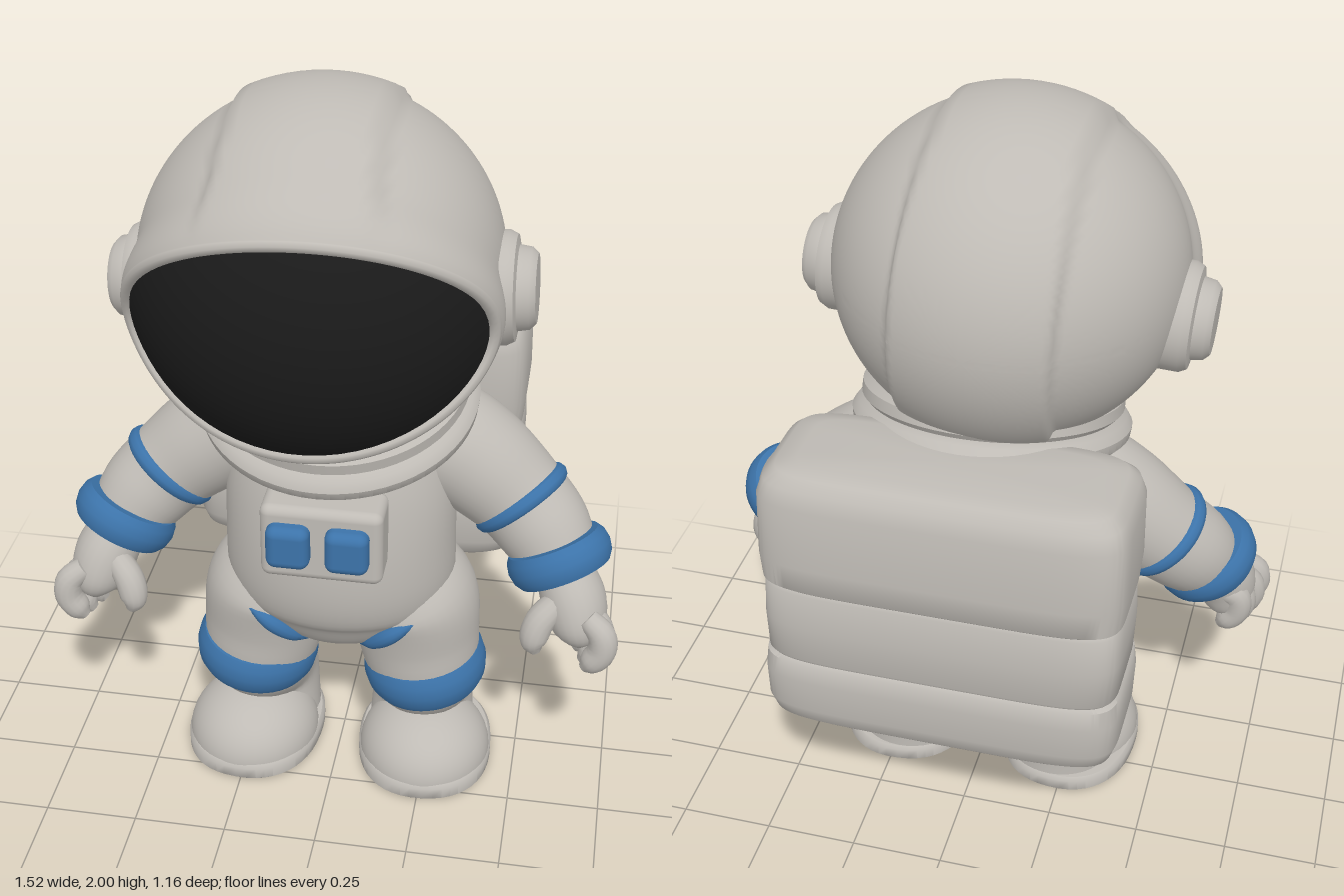
import * as THREE from 'three';
import { mergeVertices, toCreasedNormals } from 'three/addons/utils/BufferGeometryUtils.js';
import { RoundedBoxGeometry } from 'three/addons/geometries/RoundedBoxGeometry.js';

const V = (x, y, z) => new THREE.Vector3(x, y, z);
const TAU = Math.PI * 2;

const suit = new THREE.MeshStandardMaterial({ color: 0xbfbbb5 });
suit.name = 'suit grey';
const blue = new THREE.MeshStandardMaterial({ color: 0x3c73a9 });
blue.name = 'trim blue';
const dark = new THREE.MeshStandardMaterial({ color: 0x1b1b1b });
dark.name = 'visor black';

function add(parent, name, geometry, material, pos = [0, 0, 0]) {
  const mesh = new THREE.Mesh(geometry, material);
  mesh.name = name;
  mesh.position.set(...pos);
  parent.add(mesh);
  return mesh;
}

// Surface from f(u, v): u runs around, v runs along
function grid(f, nu, nv, crease = 0.8) {
  const pos = [], idx = [], w = nu + 1;
  for (let j = 0; j <= nv; j++) {
    for (let i = 0; i <= nu; i++) pos.push(...f((i % nu) / nu, j / nv).toArray());
  }
  for (let j = 0; j < nv; j++) {
    for (let i = 0; i < nu; i++) {
      const a = j * w + i, b = a + 1, c = a + w, d = c + 1;
      idx.push(a, c, b, b, c, d);
    }
  }
  const g = new THREE.BufferGeometry();
  g.setAttribute('position', new THREE.Float32BufferAttribute(pos, 3));
  g.setIndex(idx);
  const merged = mergeVertices(g);
  merged.computeVertexNormals();
  return toCreasedNormals(merged, crease);
}

// Closed body through cross-sections [x, y, z, rx, rz]; power squares the section
function sweep(sections, { steps = 5, sides = 36, power = 2 } = {}) {
  const centre = new THREE.CatmullRomCurve3(sections.map(s => V(s[0], s[1], s[2])), false, 'catmullrom');
  const radius = new THREE.CatmullRomCurve3(sections.map(s => V(s[3], s[4] ?? s[3], 0)), false, 'catmullrom');
  const n = (sections.length - 1) * steps;
  const c = [], r = [];
  for (let i = 0; i <= n; i++) {
    c.push(centre.getPoint(i / n));
    r.push(radius.getPoint(i / n));
  }
  const bend = a => Math.sign(a) * Math.pow(Math.abs(a), 2 / power);
  return grid((u, v) => {
    const k = Math.round(v * (n + 2)) - 1;
    const i = Math.min(Math.max(k, 0), n);
    if (k !== i) return c[i].clone();
    const t = c[Math.min(i + 1, n)].clone().sub(c[Math.max(i - 1, 0)]).normalize();
    const a = t.clone().cross(V(0, 0, 1)).normalize();
    const b = a.clone().cross(t);
    return c[i].clone()
      .addScaledVector(a, r[i].x * bend(Math.cos(u * TAU)))
      .addScaledVector(b, r[i].y * bend(Math.sin(u * TAU)));
  }, sides, n + 2);
}

const lathe = (profile, seg = 48) =>
  toCreasedNormals(new THREE.LatheGeometry(profile.map(p => new THREE.Vector2(...p)), seg), 0.7);

// Rounded ring around a limb
function band(parent, name, pos, dir, r, w) {
  const g = lathe([[r - 0.04, -w], [r - 0.012, -w], [r, -w * 0.6], [r + 0.005, 0], [r, w * 0.6], [r - 0.012, w], [r - 0.04, w]]);
  add(parent, name, g, blue, pos).quaternion.setFromUnitVectors(V(0, 1, 0), V(...dir).normalize());
}

function buildHelmet() {
  const helmet = new THREE.Group();
  helmet.name = 'helmet';
  helmet.position.set(-0.04, 1.55, 0.1);
  helmet.rotation.z = 0.05;

  // Face opening: an ellipse laid on the bulging visor surface
  const face = (phi, k, grow = 0) => {
    const x = (0.43 + grow) * k * Math.cos(phi), y = -0.06 + (0.29 + grow) * k * Math.sin(phi);
    return V(x, y, 0.48 * Math.sqrt(1 - (x / 0.485) ** 2 - (y / 0.5) ** 2));
  };
  add(helmet, 'visor', grid((u, v) => face(u * TAU, v), 64, 20), dark);

  // Shell from the opening to the back, with a raised band over the crown
  const step = THREE.MathUtils.smoothstep;
  const shell = grid((u, v) => {
    const rim = face(u * TAU, 1, 0.014), len = rim.length();
    const start = Math.acos(rim.z / len), side = Math.atan2(rim.y, rim.x);
    const a = start + (Math.PI - start) * v;
    const d = V(Math.sin(a) * Math.cos(side), Math.sin(a) * Math.sin(side), Math.cos(a));
    let r = 1 / Math.hypot(d.x / 0.45, d.y / 0.43, d.z / 0.46);
    const onBand = 1 - step(Math.abs(d.x), 0.4, 0.45);
    r += 0.02 * onBand * step(Math.max(d.y, -d.z), 0.2, 0.35);
    return d.multiplyScalar(THREE.MathUtils.lerp(len + 0.012, r, step(v, 0, 0.16)));
  }, 160, 72);
  add(helmet, 'helmetShell', shell, suit);

  const loop = Array.from({ length: 48 }, (_, i) => face(i / 48 * TAU, 1, 0.01));
  add(helmet, 'visorRim', new THREE.TubeGeometry(new THREE.CatmullRomCurve3(loop, true), 120, 0.017, 8, true), suit);

  // Ear caps
  for (const s of [1, -1]) {
    const cap = lathe([[0.14, 0], [0.14, 0.055], [0.13, 0.075], [0.105, 0.08], [0.1, 0.11], [0.085, 0.125], [0, 0.128]]);
    add(helmet, s > 0 ? 'leftEarCap' : 'rightEarCap', cap, suit, [s * 0.4, -0.06, 0]).rotation.z = -s * Math.PI / 2;
  }
  return helmet;
}

function buildArm(s) {
  const arm = new THREE.Group();
  arm.name = s > 0 ? 'leftArm' : 'rightArm';
  add(arm, 'sleeve', sweep([
    [s * 0.17, 1.05, -0.02, 0.11], [s * 0.26, 1.01, -0.01, 0.15], [s * 0.36, 0.95, 0, 0.148],
    [s * 0.47, 0.86, 0.02, 0.131], [s * 0.55, 0.78, 0.06, 0.122], [s * 0.61, 0.68, 0.12, 0.09]]), suit);
  band(arm, 'elbowBand', [s * 0.475, 0.857, 0.022], [s * 0.62, -0.72, 0.25], 0.137, 0.024);
  band(arm, 'wristBand', [s * 0.588, 0.735, 0.1], [s * 0.43, -0.85, 0.3], 0.137, 0.045);

  // Glove
  add(arm, 'palm', sweep([[s * 0.6, 0.71, 0.11, 0.075, 0.085], [s * 0.635, 0.64, 0.15, 0.085, 0.095],
    [s * 0.655, 0.57, 0.17, 0.07, 0.09], [s * 0.66, 0.53, 0.175, 0.03, 0.05]], { sides: 24 }), suit);
  [[0.245, 0.01], [0.2, 0], [0.15, 0], [0.105, 0.02]].forEach(([z, up], i) => {
    const x = 0.01 * (i < 2 ? 1 : 0) - 0.008 * i;
    add(arm, 'finger' + (i + 1), sweep([
      [s * (0.665 + x), 0.635, z - 0.02, 0.03], [s * (0.705 + x), 0.59 + up, z - 0.005, 0.037],
      [s * (0.71 + x), 0.54 + up, z, 0.038], [s * (0.685 + x), 0.5 + up, z, 0.034],
      [s * (0.665 + x), 0.478 + up, z, 0.014]], { sides: 14, steps: 4 }), suit);
  });
  add(arm, 'thumb', sweep([[s * 0.6, 0.66, 0.19, 0.035], [s * 0.555, 0.61, 0.22, 0.04],
    [s * 0.54, 0.555, 0.235, 0.036], [s * 0.548, 0.52, 0.24, 0.014]], { sides: 14 }), suit);
  return arm;
}

function buildLeg(s) {
  const leg = new THREE.Group();
  leg.name = s > 0 ? 'leftLeg' : 'rightLeg';
  add(leg, 'trouserLeg', sweep([
    [s * 0.225, 0.03, -0.01, 0.15, 0.14], [s * 0.225, 0.18, -0.015, 0.143, 0.13], [s * 0.23, 0.3, 0.055, 0.155, 0.15],
    [s * 0.215, 0.42, 0.055, 0.17, 0.165], [s * 0.2, 0.54, 0.045, 0.17, 0.19], [s * 0.16, 0.64, 0.05, 0.12, 0.15]]), suit);
  band(leg, 'kneeBand', [s * 0.238, 0.315, 0.065], [-s * 0.13, 1, 0.08], 0.166, 0.055);

  // Boot: flat sole with a domed toe
  const boot = new THREE.Group();
  boot.name = 'boot';
  boot.position.set(s * 0.245, 0, 0.07);
  boot.rotation.y = s * 0.08;
  leg.add(boot);
  add(boot, 'sole', sweep([[0, 0, 0, 0.18, 0.222], [0, 0.008, 0, 0.188, 0.23], [0, 0.04, 0, 0.188, 0.23],
    [0, 0.05, 0, 0.18, 0.222]], { steps: 1, sides: 48, power: 2.3 }), suit);
  add(boot, 'toe', new THREE.SphereGeometry(1, 40, 16, 0, TAU, 0, Math.PI / 2), suit, [0, 0.04, 0.03]).scale.set(0.183, 0.15, 0.195);

  add(leg, 'hipStripe', sweep([[s * 0.075, 0.435, 0.17, 0.008], [s * 0.115, 0.47, 0.205, 0.022],
    [s * 0.165, 0.515, 0.225, 0.024], [s * 0.225, 0.558, 0.222, 0.008]], { sides: 12 }), blue);
  return leg;
}

export function createModel() {
  const model = new THREE.Group();
  model.name = 'astronaut';
  model.add(buildHelmet());

  add(model, 'torso', sweep([
    [0, 0.41, 0.04, 0.08, 0.1], [0, 0.47, 0.045, 0.22, 0.17], [0, 0.55, 0.05, 0.29, 0.21], [0, 0.63, 0.06, 0.31, 0.235],
    [0, 0.75, 0.065, 0.31, 0.235], [0, 0.9, 0.06, 0.305, 0.22], [0, 1.03, 0.045, 0.28, 0.2], [0, 1.15, 0.03, 0.23, 0.19]],
    { sides: 48 }), suit);

  // Tilted neck ring
  const collar = lathe([[0, -0.07], [0.28, -0.07], [0.33, -0.055], [0.362, -0.025], [0.365, 0], [0.35, 0.022],
    [0.328, 0.03], [0.342, 0.045], [0.34, 0.075], [0.3, 0.1], [0, 0.1]], 64);
  add(model, 'collar', collar, suit, [-0.01, 1.15, 0.03]).rotation.x = 0.27;

  // Chest control box
  add(model, 'chestBox', new RoundedBoxGeometry(0.315, 0.215, 0.13, 4, 0.025), suit, [-0.002, 0.877, 0.3]);
  for (const x of [-0.083, 0.068]) {
    add(model, 'chestButton', new RoundedBoxGeometry(0.112, 0.122, 0.07, 4, 0.026), blue, [x, 0.882, 0.37]);
  }

  // Backpack in three padded tiers: [height, half width, half depth]
  const tiers = [[0.48, 0.38, 0.13], [0.488, 0.425, 0.165], [0.51, 0.45, 0.187], [0.55, 0.463, 0.198], [0.64, 0.466, 0.2],
    [0.692, 0.46, 0.196], [0.7, 0.45, 0.188], [0.708, 0.456, 0.192], [0.81, 0.46, 0.194], [0.912, 0.456, 0.192],
    [0.92, 0.45, 0.188], [0.928, 0.46, 0.196], [1.0, 0.466, 0.2], [1.17, 0.463, 0.197], [1.215, 0.448, 0.184],
    [1.24, 0.42, 0.16], [1.25, 0.37, 0.12]];
  add(model, 'backpack', sweep(tiers.map(([y, rx, rz]) => [-0.008, y, -0.385 + (y - 0.48) * 0.04, rx, rz]),
    { steps: 1, sides: 96, power: 6 }), suit);

  for (const s of [1, -1]) model.add(buildArm(s), buildLeg(s));
  return model;
}
